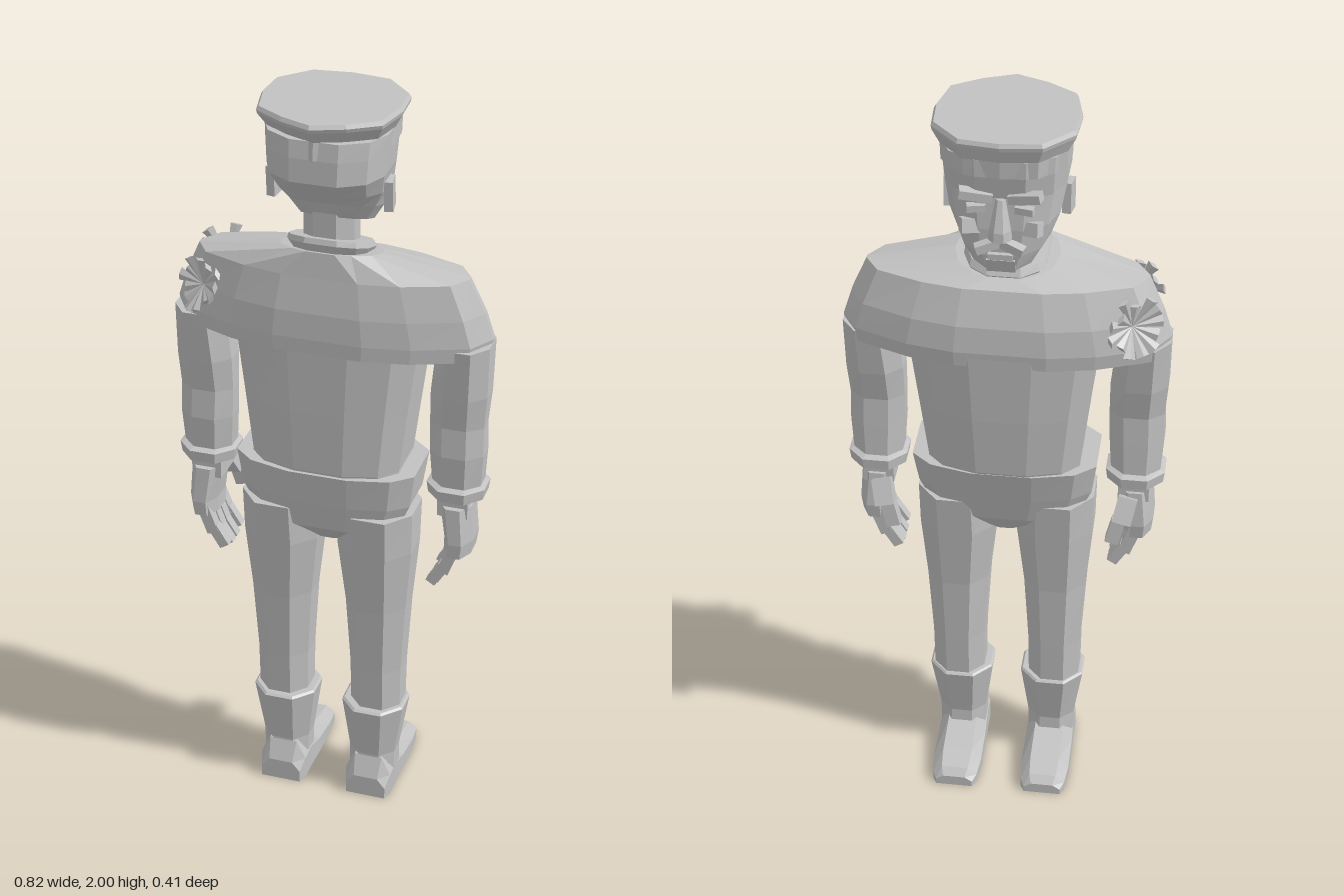
import * as THREE from 'three';

const grey = new THREE.MeshStandardMaterial({ color: 0xc2c2c2, flatShading: true });
grey.name = 'plain grey';

// Cross-section outlines (x, z), each listed as one quarter or in full
const quarter = (q) => [
  ...q, ...q.slice().reverse().map(([x, z]) => [-x, z]),
  ...q.map(([x, z]) => [-x, -z]), ...q.slice().reverse().map(([x, z]) => [x, -z]),
];
const BODY = quarter([[1, 0.5], [0.78, 0.82], [0.33, 1]]);
const LENS = quarter([[1, 0.06], [0.9, 0.5], [0.57, 0.85], [0.28, 1]]);
const LIMB = quarter([[1, 0.42], [0.45, 1]]);
const HEAD = quarter([[1, 0.35], [0.82, 0.75], [0.4, 1]]);
const FOOT = [[1, -1], [1, 0.1], [0.6, 1], [-0.6, 1], [-1, 0.1], [-1, -1]];
const CAP = [[1, 0], [0.88, 0.55], [0.46, 0.82], [0, 1], [-0.46, 0.82], [-0.88, 0.55],
  [-1, 0], [-0.97, -0.5], [-0.57, -0.93], [0, -1], [0.57, -0.93], [0.97, -0.5]];

// Skin rows of [y, centreX, halfWidth, zMin, zMax, tilt], listed bottom to top
function loft(outline, rows) {
  const n = outline.length, pos = [], idx = [];
  for (const [y, cx, w, z0, z1, tilt = 0] of rows) {
    for (const [fx, fz] of outline) {
      const z = (z0 + z1) / 2 + fz * (z1 - z0) / 2;
      pos.push(cx + fx * w, y + tilt * z, z);
    }
  }
  for (let r = 0; r < rows.length - 1; r++) {
    for (let j = 0; j < n; j++) {
      const a = r * n + j, b = r * n + (j + 1) % n;
      idx.push(a, a + n, b, a + n, b + n, b);
    }
  }
  const t = (rows.length - 1) * n;
  for (let j = 1; j < n - 1; j++) idx.push(0, j, j + 1, t, t + j + 1, t + j);
  const g = new THREE.BufferGeometry();
  g.setAttribute('position', new THREE.Float32BufferAttribute(pos, 3));
  g.setIndex(idx);
  const flat = g.toNonIndexed();
  flat.computeVertexNormals();
  return flat;
}

export function createModel() {
  const model = new THREE.Group();
  model.name = 'uniformedFigure';
  const add = (name, geo, parent = model) => {
    const m = new THREE.Mesh(geo, grey);
    m.name = name;
    parent.add(m);
    return m;
  };
  const box = (name, size, at, rot = [0, 0, 0]) => {
    const m = add(name, new THREE.BoxGeometry(...size));
    m.position.set(...at);
    m.rotation.set(...rot);
    return m;
  };

  // Jacket: waist to armpits, then the wide shoulder yoke
  add('jacketBody', loft(BODY, [
    [1.0, 0, 0.2, -0.115, 0.14], [1.03, 0, 0.195, -0.125, 0.147], [1.2, 0, 0.215, -0.137, 0.15],
    [1.4, 0, 0.24, -0.145, 0.15], [1.5, 0, 0.24, -0.12, 0.135],
  ]));
  add('shoulderYoke', loft(LENS, [
    [1.37, 0, 0.405, -0.143, 0.15], [1.41, 0, 0.412, -0.146, 0.151], [1.48, 0, 0.39, -0.138, 0.147],
    [1.57, 0, 0.35, -0.105, 0.13], [1.605, 0, 0.13, -0.075, 0.12, 0.25],
  ]));
  add('collar', loft(HEAD, [
    [1.59, 0, 0.09, -0.065, 0.105, 0.3], [1.615, 0, 0.105, -0.07, 0.12, 0.35],
    [1.63, 0, 0.1, -0.06, 0.115, 0.35],
  ]));
  add('neck', loft(LIMB, [[1.56, 0, 0.065, -0.035, 0.085], [1.76, 0, 0.065, -0.035, 0.085]]));

  // Trousers seat
  add('hips', loft(BODY, [
    [0.79, 0, 0.05, -0.04, 0.07], [0.85, 0, 0.19, -0.08, 0.125],
    [0.93, 0, 0.225, -0.1, 0.14], [1.025, 0, 0.238, -0.125, 0.155],
  ]));

  for (const s of [1, -1]) {
    const side = s > 0 ? 'left' : 'right';
    // Leg, boot shaft and shoe
    add(side + 'TrouserLeg', loft(LIMB, [
      [0.26, s * 0.13, 0.068, -0.05, 0.09], [0.4, s * 0.13, 0.07, -0.055, 0.095],
      [0.6, s * 0.13, 0.082, -0.06, 0.105], [0.78, s * 0.128, 0.1, -0.075, 0.125],
      [0.9, s * 0.13, 0.1, -0.085, 0.135],
    ]));
    add(side + 'BootShaft', loft(LIMB, [
      [0.05, s * 0.123, 0.062, -0.035, 0.09], [0.12, s * 0.123, 0.063, -0.03, 0.085],
      [0.275, s * 0.125, 0.085, -0.06, 0.112], [0.28, s * 0.125, 0.08, -0.055, 0.105],
    ]));
    add(side + 'Shoe', loft(FOOT, [
      [-0.112, s * 0.122, 0.055, 0, 0.06], [-0.085, s * 0.122, 0.063, 0, 0.115],
      [-0.03, s * 0.122, 0.063, 0, 0.12], [0.03, s * 0.122, 0.065, 0, 0.085],
      [0.13, s * 0.122, 0.066, 0, 0.062], [0.185, s * 0.122, 0.06, 0, 0.048],
      [0.205, s * 0.122, 0.05, 0, 0.03],
    ]).rotateX(-Math.PI / 2));

    // Sleeve with creases and a flared cuff
    add(side + 'Sleeve', loft(LIMB, [
      [0.965, s * 0.335, 0.072, -0.06, 0.085], [0.995, s * 0.335, 0.076, -0.062, 0.088],
      [1.0, s * 0.335, 0.064, -0.045, 0.07], [1.09, s * 0.335, 0.07, -0.04, 0.075],
      [1.17, s * 0.333, 0.07, -0.035, 0.068], [1.26, s * 0.337, 0.073, -0.052, 0.08],
      [1.4, s * 0.345, 0.067, -0.07, 0.09],
    ]));
    // Hand
    box(side + 'Wrist', [0.08, 0.08, 0.1], [s * 0.333, 0.95, 0.013]);
    add(side + 'Palm', loft(LIMB, [
      [0.8, s * 0.345, 0.036, -0.05, 0.085], [0.84, s * 0.348, 0.038, -0.055, 0.087],
      [0.94, s * 0.337, 0.042, -0.045, 0.078],
    ]));
    for (let i = 0; i < 4; i++) {
      const z = 0.066 - i * 0.034, drop = i % 3 ? 0.012 : 0;
      box(side + 'FingerBase', [0.032, 0.08, 0.028], [s * 0.328, 0.785, z], [0, 0, -s * 0.35]);
      box(side + 'FingerTip', [0.028, 0.065, 0.026], [s * 0.3, 0.738 - drop, z], [0, 0, -s * 0.55]);
    }
    box(side + 'ThumbBase', [0.05, 0.07, 0.05], [s * 0.315, 0.9, -0.065], [0.5, 0, -s * 0.2]);
    box(side + 'ThumbTip', [0.036, 0.065, 0.036], [s * 0.293, 0.85, -0.087], [0.1, 0, -s * 0.25]);

    // Face features found on both sides
    box(side + 'Ear', [0.022, 0.08, 0.045], [s * 0.147, 1.775, 0.027], [0.08, s * 0.15, 0]);
    box(side + 'Brow', [0.08, 0.022, 0.03], [s * 0.06, 1.85, -0.125], [0, s * 0.2, s * 0.2]);
    box(side + 'Eye', [0.045, 0.018, 0.02], [s * 0.058, 1.815, -0.125], [0, s * 0.2, 0]);
    box(side + 'Cheek', [0.045, 0.035, 0.03], [s * 0.075, 1.76, -0.115], [0.3, s * 0.4, 0]);
    box(side + 'Moustache', [0.06, 0.022, 0.025], [s * 0.03, 1.718, -0.135], [0, s * 0.25, -s * 0.3]);
  }

  // Head with a jaw that slopes down to the chin
  add('head', loft(HEAD, [
    [1.685, 0, 0.085, -0.115, 0.08, 0.4], [1.725, 0, 0.112, -0.122, 0.105, 0.35],
    [1.775, 0, 0.135, -0.125, 0.135, 0.15], [1.84, 0, 0.148, -0.12, 0.175],
    [1.9, 0, 0.152, -0.13, 0.172], [1.945, 0, 0.155, -0.13, 0.165],
  ]));
  add('nose', loft(LIMB, [
    [1.74, 0, 0.028, -0.16, -0.1], [1.765, 0, 0.025, -0.158, -0.1], [1.84, 0, 0.012, -0.13, -0.1],
  ]));
  box('lowerLip', [0.06, 0.015, 0.025], [0, 1.685, -0.122]);
  box('chin', [0.07, 0.04, 0.035], [0, 1.657, -0.103], [-0.3, 0, 0]);

  // Flat-topped cap
  add('cap', loft(CAP, [
    [1.9, 0, 0.156, -0.134, 0.176], [1.945, 0, 0.157, -0.136, 0.17],
    [1.98, 0, 0.176, -0.148, 0.2], [1.99, 0, 0.178, -0.15, 0.204], [2.0, 0, 0.172, -0.145, 0.198],
  ]));

  // Torn cloth: ragged blades fanned around the right shoulder
  let seed = 7;
  const rnd = () => (seed = (seed * 16807) % 2147483647) / 2147483647;
  const tears = [
    { at: [-0.318, 1.485, -0.088], normal: [-0.5, 0.25, -0.8], size: 0.085 },
    { at: [-0.315, 1.49, 0.092], normal: [-0.5, 0.25, 0.8], size: 0.075 },
  ];
  for (const { at, normal, size } of tears) {
    const fan = new THREE.Group();
    fan.name = 'tornCloth';
    fan.position.set(...at);
    fan.quaternion.setFromUnitVectors(new THREE.Vector3(0, 0, 1), new THREE.Vector3(...normal).normalize());
    model.add(fan);
    for (let i = 0; i < 13; i++) {
      const a = i / 13 * Math.PI * 2, len = size * (0.65 + 0.4 * rnd());
      const blade = new THREE.ConeGeometry(0.017, len, 4).scale(1, 1, 0.45);
      blade.rotateZ(Math.PI).translate(0, len / 2, 0).rotateX(0.15 + 0.3 * rnd()).rotateZ(a);
      add('clothBlade', blade, fan);
    }
  }
  return model;
}
